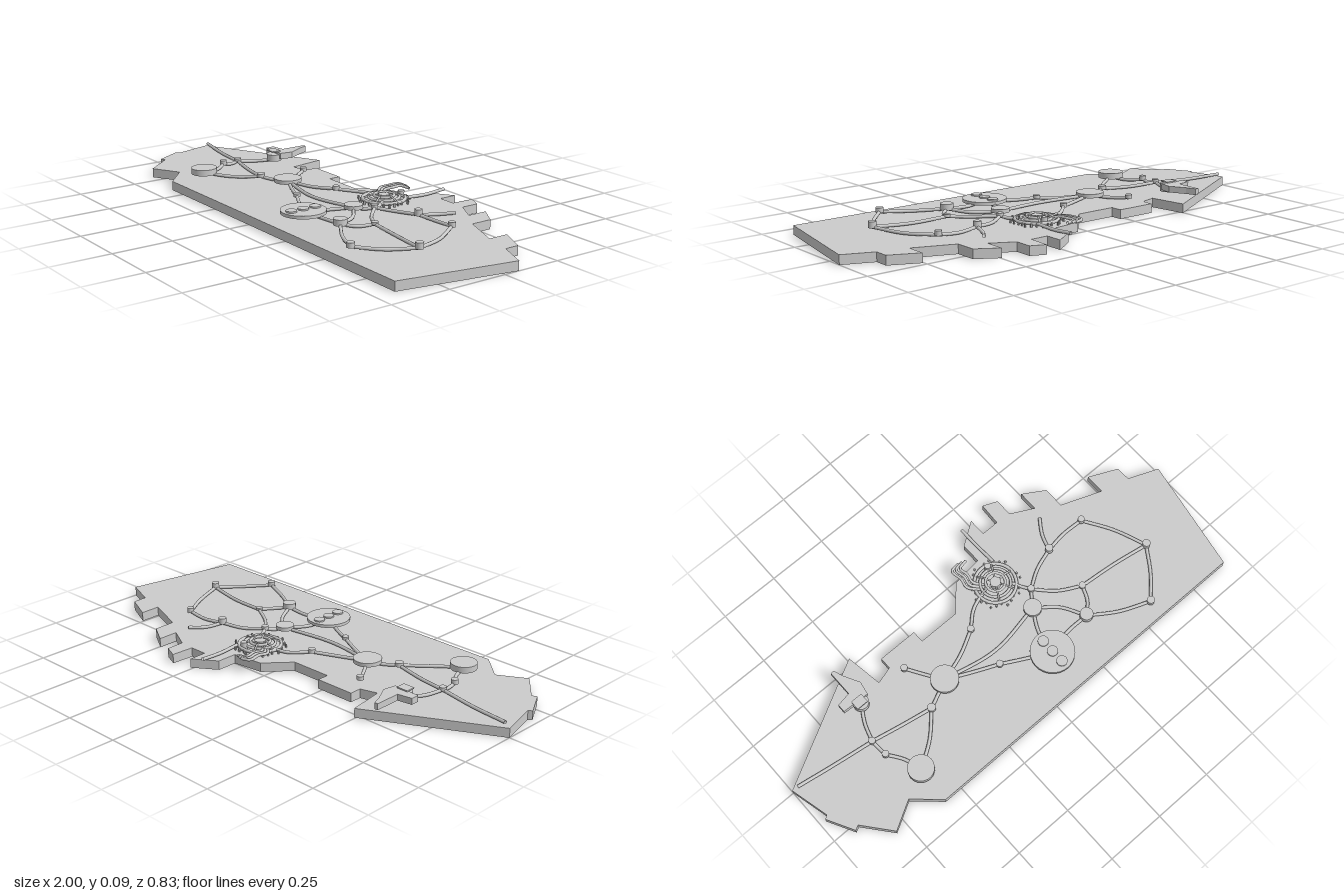
import * as THREE from 'three';

const mat = new THREE.MeshStandardMaterial({ color: 0xcccccc, side: THREE.DoubleSide });

export function createModel() {
  const root = new THREE.Group();

  const add = (name, geo, x = 0, y = 0, z = 0, parent = root) => {
    const m = new THREE.Mesh(geo, mat);
    m.name = name;
    m.position.set(x, y, z);
    parent.add(m);
    return m;
  };
  // Upright disc between two heights
  const disc = (name, x, z, r, y0, y1, sides = 32, parent = root) =>
    add(name, new THREE.CylinderGeometry(r, r, y1 - y0, sides), x, (y0 + y1) / 2, z, parent);
  // Plan outline (x, z) raised between two heights
  const slab = (name, pts, y0, y1) => {
    const geo = new THREE.ExtrudeGeometry(
      new THREE.Shape(pts.map(([x, z]) => new THREE.Vector2(x, z))),
      { depth: y1 - y0, bevelEnabled: false });
    geo.rotateX(Math.PI / 2);
    return add(name, geo, 0, y1, 0);
  };
  const tube = (name, pts, r, parent = root) =>
    add(name, new THREE.TubeGeometry(new THREE.CatmullRomCurve3(
      pts.map(([x, y, z]) => new THREE.Vector3(x, y, z))), 20, r, 8), 0, 0, 0, parent);

  // Base plate: notched rear edge, straight front edge
  slab('basePlate', [
    [-1, 0], [-0.495, -0.27], [-0.47, -0.115], [-0.4, -0.135], [-0.4, -0.185],
    [-0.23, -0.185], [-0.23, -0.135], [-0.055, -0.135], [0.035, -0.235], [0.165, -0.25],
    [0.165, -0.335], [0.26, -0.4], [0.26, -0.325], [0.335, -0.325], [0.34, -0.42],
    [0.4, -0.395], [0.4, -0.32], [0.495, -0.27], [0.495, -0.355], [0.585, -0.3],
    [0.585, -0.21], [0.755, -0.145], [0.755, -0.23], [0.875, -0.175], [0.875, -0.115],
    [1, -0.065], [0.91, 0.415], [-0.58, 0.415], [-0.685, 0.32], [-0.8, 0.385],
    [-0.895, 0.27], [-0.915, 0.28], [-0.975, 0.17], [-0.96, 0.16],
  ], 0, 0.038);

  // Hubs and junctions: x, z, radius, top height
  const nodes = {
    westHub: [-0.27, 0.05, 0.057, 0.066],
    southWestHub: [-0.575, 0.265, 0.053, 0.075],
    mainHub: [0.125, 0.245, 0.09, 0.063],
    centreHub: [0.19, 0.055, 0.037, 0.066],
    eastHub: [0.33, 0.22, 0.027, 0.075],
    cross: [-0.645, 0.055, 0.014, 0.066],
    crossSouth: [-0.64, 0.13, 0.014, 0.07],
    craftPad: [-0.58, -0.09, 0.032, 0.078],
    midWest: [-0.385, 0.105, 0.017, 0.066],
    northSpur: [-0.36, -0.09, 0.014, 0.066],
    northLink: [-0.055, -0.04, 0.014, 0.066],
    southLink: [-0.065, 0.145, 0.014, 0.064],
    ringLink: [0.24, -0.01, 0.014, 0.066],
    eastMid: [0.405, 0.115, 0.014, 0.062],
    eastNorth: [0.41, -0.09, 0.016, 0.075],
    farNorth: [0.595, -0.1, 0.014, 0.07],
    farEast: [0.72, 0.155, 0.016, 0.075],
    farSouth: [0.565, 0.345, 0.016, 0.07],
  };
  for (const [name, [x, z, r, top]] of Object.entries(nodes)) disc(name, x, z, r, 0.05, top);

  // Three low caps on the main hub
  for (const dz of [-0.055, 0, 0.055]) disc('hubCap', 0.125, 0.245 + dz, 0.022, 0.06, 0.069, 24);

  // Cables joining hubs; the last value bows the run sideways
  const cable = (a, b, bow = 0) => {
    const dx = b[0] - a[0], dz = b[1] - a[1];
    tube('cable', [
      [a[0], 0.052, a[1]],
      [(a[0] + b[0]) / 2 - dz * bow, 0.047, (a[1] + b[1]) / 2 + dx * bow],
      [b[0], 0.052, b[1]],
    ], 0.007);
  };
  const links = [
    ['cross', 'midWest'], ['midWest', 'westHub'], ['cross', 'craftPad', -0.05],
    ['cross', 'crossSouth'], ['crossSouth', 'southWestHub', -0.08], ['southWestHub', 'midWest', 0.05],
    ['westHub', 'northSpur'], ['westHub', 'northLink', 0.04], ['westHub', 'southLink'],
    ['southLink', 'mainHub'], ['westHub', 'centreHub', 0.08], ['mainHub', 'centreHub', -0.08],
    ['mainHub', 'eastHub', -0.06], ['centreHub', 'eastHub', -0.1], ['ringLink', 'eastMid', 0.06],
    ['centreHub', 'ringLink'], ['eastHub', 'eastMid', 0.1], ['eastHub', 'farSouth', 0.04],
    ['farSouth', 'farEast', 0.04], ['farEast', 'farNorth', 0.05], ['farNorth', 'eastNorth', 0.05],
    ['eastNorth', 'ringLink', 0.06], ['eastMid', 'farEast', -0.02],
  ];
  for (const [a, b, bow] of links) cable(nodes[a], nodes[b], bow);
  cable([-0.975, 0.005], nodes.cross);
  cable(nodes.northLink, [0.1, -0.13], -0.1);
  cable([0.2, -0.08], nodes.ringLink);
  cable(nodes.eastNorth, [0.475, -0.22], -0.06);
  cable([0.205, -0.2], [0.2, -0.39]);

  // Parked craft on its pad: tapered body, tail and top plate
  slab('craftBody', [
    [-0.655, -0.135], [-0.595, -0.145], [-0.595, -0.255], [-0.58, -0.255], [-0.565, -0.215],
    [-0.53, -0.15], [-0.54, -0.095], [-0.655, -0.1],
  ], 0.06, 0.086);
  add('craftTopPlate', new THREE.BoxGeometry(0.05, 0.005, 0.04), -0.585, 0.09, -0.09);

  // Ring assembly: nested rings, core and an outer circle of studs
  const ring = new THREE.Group();
  ring.name = 'ringAssembly';
  ring.position.set(0.15, 0, -0.125);
  root.add(ring);
  [[0.085, 0.007], [0.062, 0.006], [0.04, 0.006]].forEach(([r, t], i) =>
    add('ring', new THREE.TorusGeometry(r, t, 8, 40).rotateX(Math.PI / 2), 0, 0.05 + i * 0.006, 0, ring));
  disc('ringCore', 0, 0, 0.022, 0.038, 0.066, 20, ring);
  for (let i = 0; i < 28; i++) {
    const a = i / 28 * Math.PI * 2, r = 0.09 + (i % 3) * 0.007;
    add('stud', new THREE.BoxGeometry(0.006, 0.014, 0.006), Math.cos(a) * r, 0.045, Math.sin(a) * r, ring);
  }
  for (let i = 0; i < 6; i++) {
    const a = i / 6 * Math.PI * 2, c = Math.cos(a), s = Math.sin(a);
    tube('spoke', [[c * 0.02, 0.06, s * 0.02], [c * 0.05, 0.064, s * 0.05], [c * 0.085, 0.05, s * 0.085]], 0.004, ring);
  }
  disc('ringPost', 0.02, -0.07, 0.013, 0.038, 0.074, 16, ring);

  // Bent pipes leading from the ring over the rear edge
  for (let i = 0; i < 3; i++) {
    const o = i * 0.016;
    tube('bentPipe', [
      [0.09 + o, 0.056, -0.285 + o * 0.3], [0.05 + o, 0.06, -0.275 + o * 0.4],
      [0.055 + o, 0.062, -0.225], [0.05 + o, 0.058, -0.185], [0.09 + o, 0.05, -0.14],
    ], 0.006);
  }
  return root;
}
